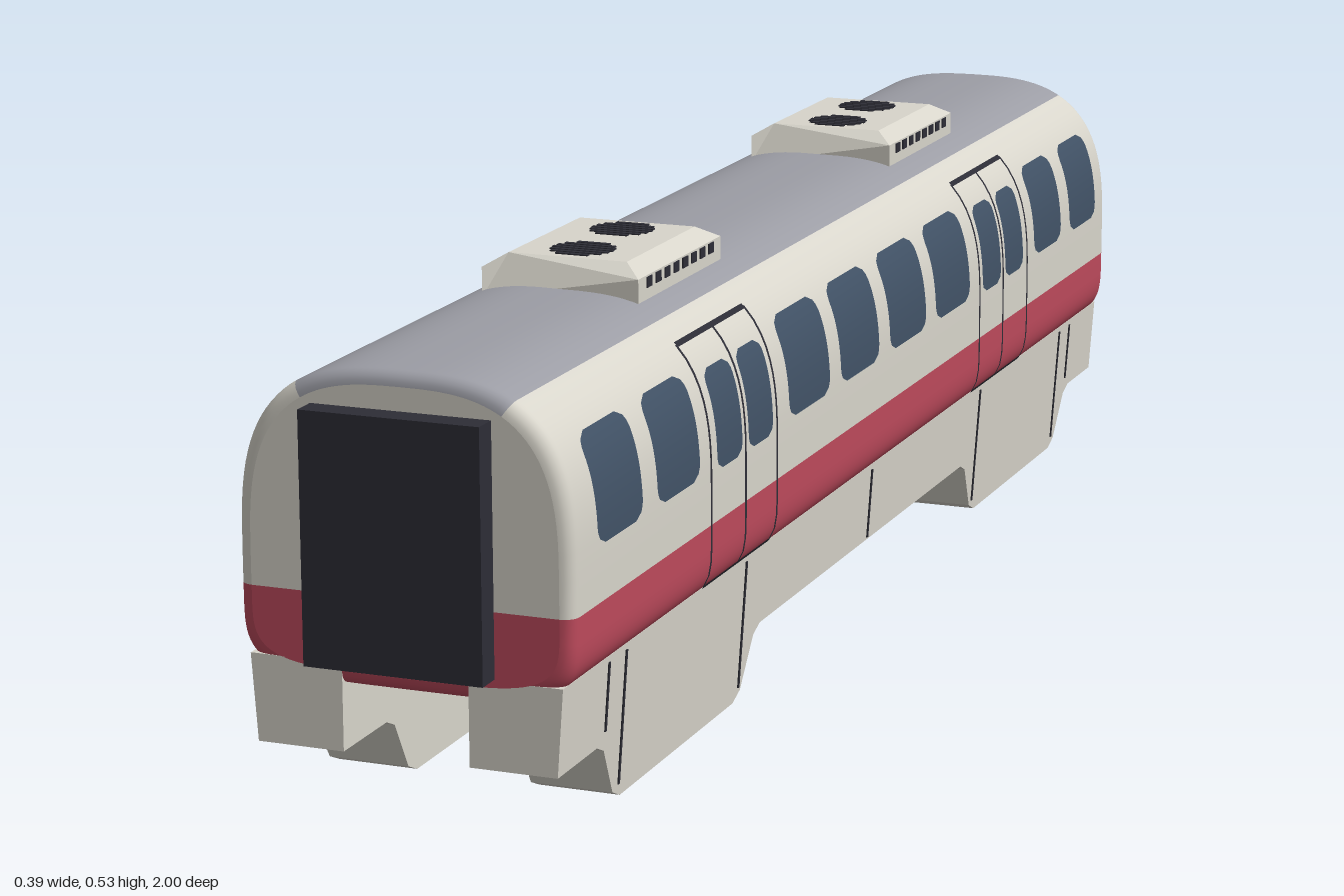
import * as THREE from 'three';

const mat = (name, color) => Object.assign(new THREE.MeshStandardMaterial({ color }), { name });

// Body cross-section: two half superellipses joined by a short straight side
const A = 0.193, BELT = 0.25;
const UP = { c: 0.29, b: 0.207, n: 2.9 }, LOW = { c: BELT, b: 0.1, n: 4.5 };
const power = (v, p) => Math.sign(v) * Math.abs(v) ** p;

function sideX(y) {
  const e = y > UP.c ? UP : LOW;
  if (y >= LOW.c && y <= UP.c) return A;
  return A * Math.max(0, 1 - (Math.abs(y - e.c) / e.b) ** e.n) ** (1 / e.n);
}

function arc(e, t0, t1, steps) {
  const pts = [];
  for (let i = 0; i <= steps; i++) {
    const t = t0 + (t1 - t0) * i / steps;
    const c = Math.cos(t), s = Math.sin(t);
    pts.push([A * power(c, 2 / e.n), e.c + e.b * power(s, 2 / e.n)]);
  }
  return pts;
}

// Surface through rows of points
function loft(rows) {
  const m = rows[0].length, pos = rows.flat(2), idx = [];
  for (let i = 0; i < rows.length - 1; i++) {
    for (let j = 0; j < m - 1; j++) {
      const a = i * m + j, c = a + m;
      idx.push(a, a + 1, c, a + 1, c + 1, c);
    }
  }
  const g = new THREE.BufferGeometry();
  g.setAttribute('position', new THREE.Float32BufferAttribute(pos, 3));
  g.setIndex(idx);
  g.computeVertexNormals();
  return g;
}

// Section moved to z and shrunk towards the belt line by an inset
const section = (pts, z, d) => pts.map(([x, y]) => [
  x * (1 - d / A),
  BELT + (y - BELT) * (1 - d / (y > BELT ? 0.247 : 0.1)), z]);

export function createModel() {
  const cream = mat('cream', 0xd8d5cb), red = mat('red', 0xbd4a5c), grey = mat('roofGrey', 0x9c9da5);
  const dark = mat('dark', 0x2d2d36), glass = mat('glass', 0x415266);

  const root = new THREE.Group();
  root.name = 'railCar';
  const add = (name, geo, material, x = 0, y = 0, z = 0, parent = root) => {
    const m = new THREE.Mesh(geo, material);
    m.name = name;
    m.position.set(x, y, z);
    parent.add(m);
    return m;
  };
  const box = (name, w, h, d, material, x, y, z, parent) =>
    add(name, new THREE.BoxGeometry(w, h, d), material, x, y, z, parent);

  // Body shell with rounded ends
  const END = 0.97, R = 0.016, stations = [];
  for (let i = 0; i <= 5; i++) {
    const a = i / 5 * Math.PI / 2;
    stations.push([END - R + R * Math.sin(a), R * (1 - Math.cos(a))]);
  }
  const ring = [...stations.map(([z, d]) => [-z, d]).reverse(), ...stations];
  const shell = (name, pts, material) =>
    add(name, loft(ring.map(([z, d]) => section(pts, z, d))), material);
  const t0 = Math.acos((0.125 / A) ** (UP.n / 2));
  const rightWall = [[A, BELT], ...arc(UP, 0, t0, 16)];
  const leftWall = rightWall.map(([x, y]) => [-x, y]).reverse();
  const roof = arc(UP, t0, Math.PI - t0, 24);
  const lower = arc(LOW, Math.PI, 2 * Math.PI, 48);
  shell('leftWall', rightWall, cream);
  shell('rightWall', leftWall, cream);
  shell('roof', roof, grey);
  shell('redBand', lower, red);

  // End walls, closed down to the belt line
  const upper = [...rightWall, ...roof.slice(1), ...leftWall.slice(1)];
  for (const [pts, material, name] of [[upper, cream, 'endWall'], [lower, red, 'endBand']]) {
    for (const s of [1, -1]) {
      const edge = section(pts, s * END, R);
      const rows = [edge, edge.map(([x, , z]) => [x, BELT, z])];
      add(name, loft(s > 0 ? rows : rows.reverse()), material);
    }
  }

  // Gangway doors, floor and bogie pivots
  for (const s of [1, -1]) {
    box('gangway', 0.206, 0.278, 0.04, dark, 0, 0.316, s * 0.98);
    box('bogiePivot', 0.084, 0.03, 0.1, dark, 0, 0.145, s * 0.61);
  }
  box('floor', 0.15, 0.008, 1.9, grey, 0, 0.152, 0);

  // Thin plates that follow the curve of the side walls
  function plate(name, s, zc, yc, w, h, r, material, off = 0.003) {
    const g = new THREE.PlaneGeometry(w, h, 2, h > 0.02 ? 18 : 1), p = g.attributes.position;
    for (let i = 0; i < p.count; i++) {
      const u = p.getX(i), v = p.getY(i);
      const over = Math.max(0, Math.abs(v) - (h / 2 - r));
      const half = w / 2 - r + Math.sqrt(Math.max(0, r * r - over * over));
      p.setXYZ(i, s * (sideX(yc + v) + off), yc + v, zc - s * u * half / (w / 2));
    }
    g.computeVertexNormals();
    add(name, g, material);
  }
  for (const s of [1, -1]) {
    for (const e of [1, -1]) {
      for (const [z, w] of [[0.848, 0.124], [0.682, 0.124], [0.268, 0.139], [0.09, 0.139]])
        plate('window', s, e * z, 0.373, w, 0.118, 0.02, glass);
      for (const z of [0.529, 0.431]) plate('doorWindow', s, e * z, 0.366, 0.078, 0.112, 0.016, glass);
      for (const z of [0.587, 0.48, 0.379]) plate('doorSeam', s, e * z, 0.316, 0.005, 0.276, 0, dark);
      for (const y of [0.454, 0.18]) plate('doorSeam', s, e * 0.483, y, 0.208, 0.005, 0, dark);
    }
  }

  // Side skirts, deeper over the bogies and leaning slightly inwards
  const IN = 0.073, skirtX = y => 0.168 + 0.07 * y;
  const half = [[0.97, 0.175], [0.97, 0.077], [0.865, 0.077], [0.845, 0.068], [0.812, 0.01], [0.79, 0],
    [0.45, 0], [0.428, 0.01], [0.395, 0.068], [0.375, 0.077]];
  const outline = [...half, ...half.map(([z, y]) => [-z, y]).reverse()];
  for (const s of [1, -1]) {
    const skirt = new THREE.Group();
    skirt.name = s > 0 ? 'leftSkirt' : 'rightSkirt';
    skirt.rotation.y = s > 0 ? 0 : Math.PI;
    root.add(skirt);
    const g = new THREE.ExtrudeGeometry(new THREE.Shape(outline.map(([z, y]) => new THREE.Vector2(z, y))), {
      depth: 0.988, bevelEnabled: false });
    g.rotateY(Math.PI / 2);
    const p = g.attributes.position;
    for (let i = 0; i < p.count; i++)
      p.setX(i, p.getX(i) > 0.5 ? skirtX(p.getY(i)) : IN);
    g.computeVertexNormals();
    add('skirtPanel', g, cream, 0, 0, 0, skirt);
    for (const [z, y0] of [[0.845, 0.09], [0.797, 0.015], [0.436, 0.015], [0, 0.08]]) {
      for (const e of z ? [1, -1] : [1]) {
        const y = (y0 + 0.168) / 2;
        box('skirtSeam', 0.003, 0.168 - y0, 0.004, dark, skirtX(y), y, e * z, skirt)
          .rotation.z = -Math.atan(0.07);
      }
    }
  }

  // Roof cooling units with slatted fans and side grilles
  for (const zc of [0.425, -0.43]) {
    const unit = new THREE.Group();
    unit.name = 'coolingUnit';
    unit.position.z = zc;
    root.add(unit);
    const shape = new THREE.Shape([[-0.095, 0.48], [0.095, 0.48], [0.095, 0.515], [0.072, 0.529],
      [-0.072, 0.529], [-0.095, 0.515]].map(q => new THREE.Vector2(...q)));
    const g = new THREE.ExtrudeGeometry(shape, { depth: 1, bevelEnabled: false });
    const p = g.attributes.position;
    for (let i = 0; i < p.count; i++)
      p.setZ(i, (p.getZ(i) - 0.5) * (p.getY(i) > 0.52 ? 0.206 : 0.252));
    g.computeVertexNormals();
    add('housing', g, cream, 0, 0, 0, unit);
    for (const fz of [0.058, -0.058]) {
      for (let k = -3; k <= 3; k++) {
        const dz = k * 0.0104;
        box('fanSlat', 2 * Math.sqrt(0.037 ** 2 - dz * dz), 0.003, 0.0065, dark, 0, 0.529, fz + dz, unit);
      }
    }
    for (const s of [1, -1])
      for (let k = 0; k < 8; k++)
        box('grilleSlot', 0.003, 0.012, 0.015, dark, s * 0.095, 0.507, (k - 3.5) * 0.027, unit);
  }
  return root;
}
